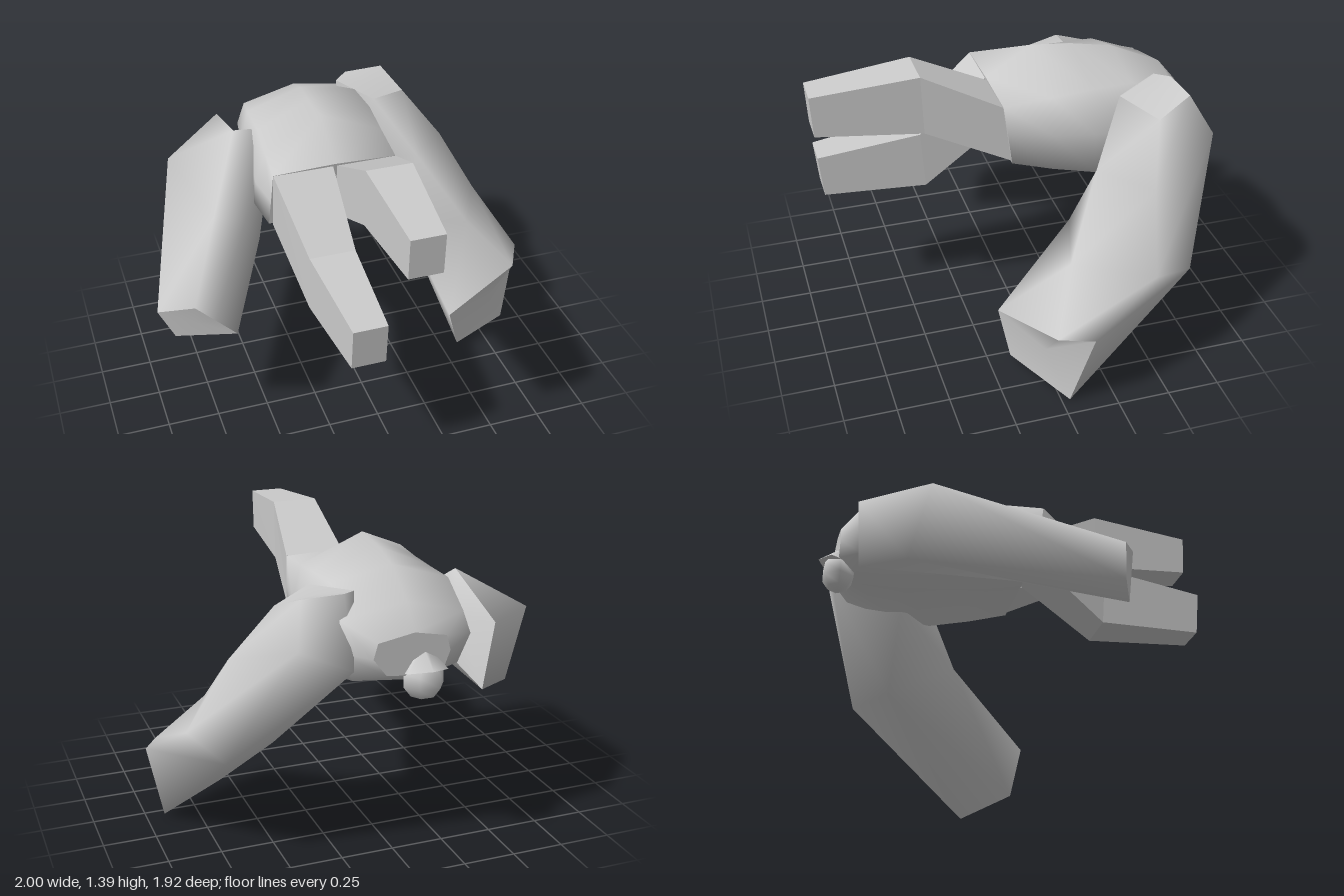
import * as THREE from 'three';

const smoothMat = new THREE.MeshStandardMaterial({ color: 0xcccccc });
const flatMat = new THREE.MeshStandardMaterial({ color: 0xcccccc, flatShading: true });

// Skin a list of equal-sized rings; the end caps get their own vertices so their edges stay sharp
function loft(name, rings, material) {
  const n = rings[0].length, pos = rings.flat(2), index = [];
  for (let i = 0; i < rings.length - 1; i++) {
    for (let j = 0; j < n; j++) {
      const a = i * n + j, b = i * n + (j + 1) % n, c = a + n, d = b + n;
      index.push(a, c, b, b, c, d);
    }
  }
  for (const [ring, end] of [[rings[0], false], [rings[rings.length - 1], true]]) {
    const start = pos.length / 3;
    pos.push(...ring.flat());
    pos.push(...[0, 1, 2].map(k => ring.reduce((s, p) => s + p[k], 0) / n));
    for (let j = 0; j < n; j++) {
      const a = start + j, b = start + (j + 1) % n;
      index.push(start + n, end ? b : a, end ? a : b);
    }
  }
  const geometry = new THREE.BufferGeometry();
  geometry.setAttribute('position', new THREE.Float32BufferAttribute(pos, 3));
  geometry.setIndex(index);
  geometry.computeVertexNormals();
  const mesh = new THREE.Mesh(geometry, material);
  mesh.name = name;
  return mesh;
}

// Torso section at z; the cut leans forward at the top by lean
const section = (z, points, lean = 0) => points.map(([x, y]) => [x, y, z + (y - 1.07) * lean]);

// Leg cross-section, leaning by the difference between top and bottom z
const box = (x0, x1, y0, y1, zBottom, zTop) =>
  [[x0, y0, zBottom], [x0, y1, zTop], [x1, y1, zTop], [x1, y0, zBottom]];

export function createModel() {
  const model = new THREE.Group();

  // Torso, from the square hips over the peaked back to the neck
  model.add(loft('torso', [
    section(0.06, [[0.23, 0.91], [0.23, 1.07], [0.22, 1.21], [-0.08, 1.22], [-0.38, 1.21], [-0.39, 1.06], [-0.4, 0.93], [-0.08, 0.92]], 0.13),
    section(-0.15, [[0.27, 0.87], [0.27, 1.05], [0.23, 1.23], [-0.08, 1.36], [-0.36, 1.21], [-0.41, 1.05], [-0.42, 0.93], [-0.08, 0.88]]),
    section(-0.35, [[0.31, 0.84], [0.3, 1.04], [0.24, 1.25], [-0.08, 1.34], [-0.34, 1.22], [-0.38, 1.05], [-0.4, 0.94], [-0.08, 0.86]]),
    section(-0.55, [[0.28, 0.85], [0.3, 1.03], [0.23, 1.25], [-0.06, 1.31], [-0.34, 1.22], [-0.38, 1.05], [-0.36, 0.92], [-0.06, 0.84]]),
    section(-0.79, [[0.22, 0.88], [0.29, 1.02], [0.28, 1.16], [-0.03, 1.21], [-0.3, 1.14], [-0.34, 1.03], [-0.28, 0.9], [-0.06, 0.85]]),
    section(-0.88, [[0.1, 0.92], [0.16, 1], [0.14, 1.07], [-0.03, 1.1], [-0.18, 1.07], [-0.2, 1], [-0.17, 0.92], [-0.06, 0.9]]),
  ], smoothMat));

  // Legs: hip, knee and foot sections
  model.add(loft('rightLeg', [
    box(-0.38, -0.09, 0.92, 1.21, 0.04, 0.08),
    box(-0.31, -0.09, 0.66, 0.95, 0.39, 0.41),
    box(-0.27, -0.11, 0.68, 0.89, 0.89, 0.91),
  ], flatMat));
  model.add(loft('leftLeg', [
    box(-0.07, 0.22, 0.92, 1.21, 0.04, 0.08),
    box(-0.06, 0.16, 1.1, 1.39, 0.44, 0.45),
    box(-0.04, 0.12, 1.14, 1.34, 0.94, 0.95),
  ], flatMat));

  // Left arm: shoulder top, upper arm, elbow, hand
  model.add(loft('leftArm', [
    [[0.3, 1.23, -0.46], [0.5, 1.19, -0.58], [0.44, 1.26, -0.75], [0.24, 1.26, -0.74], [0.17, 1.25, -0.68]],
    [[0.48, 0.96, -0.29], [0.69, 0.94, -0.5], [0.49, 1.07, -0.86], [0.24, 0.95, -0.86], [0.17, 0.87, -0.52]],
    [[0.7, 0.62, -0.1], [0.88, 0.6, -0.45], [0.76, 0.52, -0.67], [0.5, 0.52, -0.52], [0.38, 0.64, -0.2]],
    [[0.92, 0.38, 0.03], [1, 0.4, -0.12], [0.91, 0, -0.04], [0.57, 0.04, 0.15], [0.5, 0.27, 0.19]],
  ], smoothMat));

  // Right arm: shoulder, elbow, hand
  model.add(loft('rightArm', [
    [[-0.44, 1.08, -0.83], [-0.45, 1.21, -0.4], [-0.3, 1.17, -0.45], [-0.28, 0.95, -0.4], [-0.4, 0.76, -0.81]],
    [[-0.76, 1.03, -0.54], [-0.65, 0.99, -0.01], [-0.5, 0.92, -0.02], [-0.42, 0.77, -0.08], [-0.62, 0.71, -0.62]],
    [[-1, 0.71, 0.27], [-0.84, 0.76, 0.36], [-0.75, 0.68, 0.38], [-0.66, 0.6, 0.4], [-0.93, 0.57, 0.29]],
  ], smoothMat));

  // Small head and its collar
  const head = new THREE.Mesh(new THREE.SphereGeometry(0.1, 6, 5), smoothMat);
  head.name = 'head';
  head.position.set(-0.08, 0.88, -0.87);
  head.scale.set(1, 0.95, 0.85);
  const collar = new THREE.Mesh(new THREE.CylinderGeometry(0.03, 0.11, 0.1, 6), smoothMat);
  collar.name = 'collar';
  collar.position.set(-0.08, 0.96, -0.85);
  collar.rotation.x = 0.3;
  model.add(head, collar);

  return model;
}
